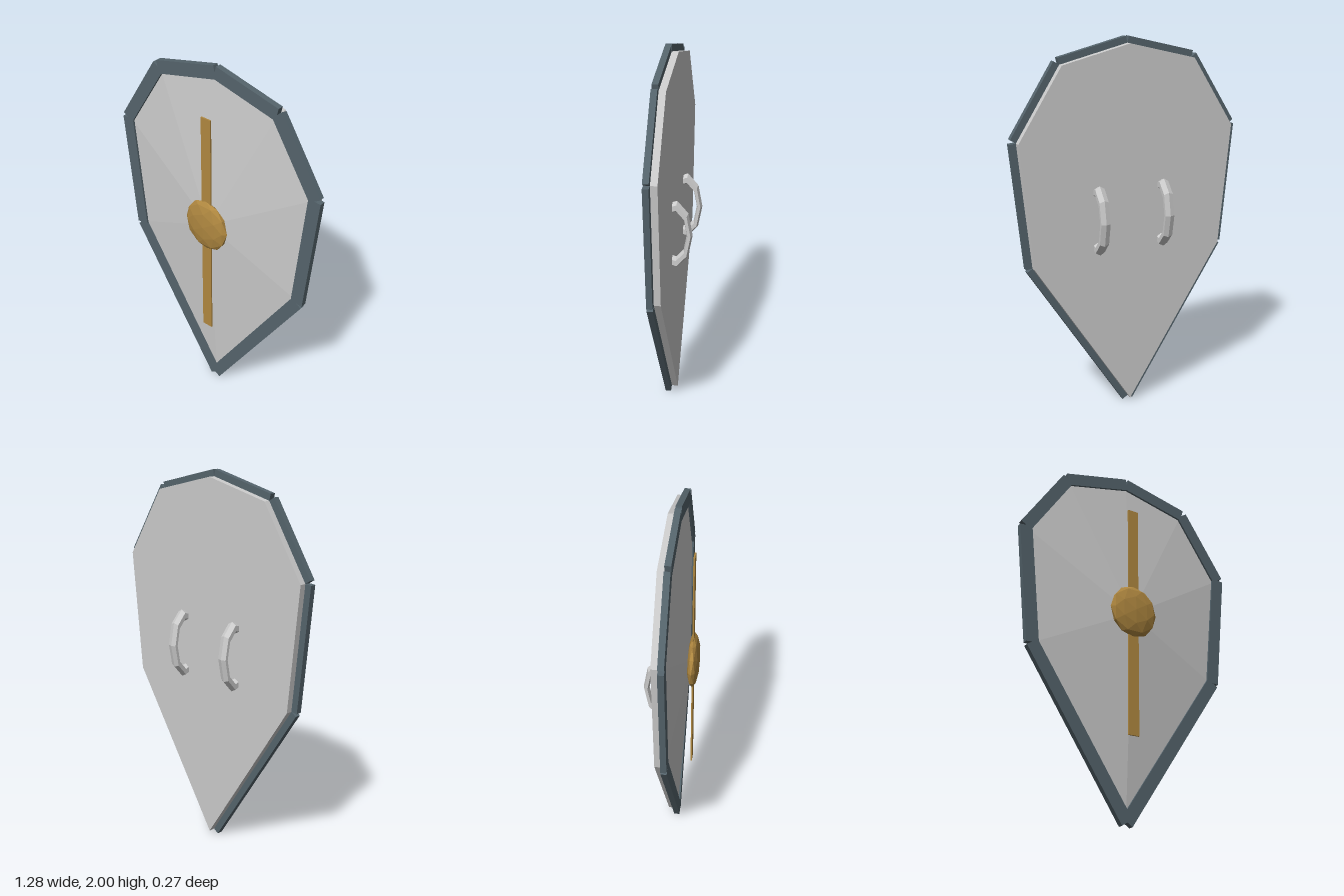
import * as THREE from 'three';

// Shield outline, counter-clockwise seen from the front
const half = [[0.54, 0.855], [0.605, 1.51], [0.37, 1.877]];
const outline = [
  [0, 0.019], ...half, [0, 1.966],
  ...half.map(([x, y]) => [-x, y]).reverse(),
].map(([x, y]) => new THREE.Vector2(x, y));

const material = (color) => new THREE.MeshStandardMaterial({ color, flatShading: true });

export function createModel() {
  const group = new THREE.Group();
  const grey = material(0xcccccc);
  const slate = material(0x55646c);
  const gold = material(0xb08840);

  const add = (name, geometry, mat, x = 0, y = 0, z = 0) => {
    const mesh = new THREE.Mesh(geometry, mat);
    mesh.name = name;
    mesh.position.set(x, y, z);
    group.add(mesh);
    return mesh;
  };

  // Flat backing board
  const slab = new THREE.ExtrudeGeometry(new THREE.Shape(outline), { depth: 0.05, bevelEnabled: false });
  add('board', slab, grey, 0, 0, -0.03);

  // Shallow faceted front, rising to a point behind the boss
  const fan = [];
  outline.forEach((a, i) => {
    const b = outline[(i + 1) % outline.length];
    fan.push(a.x, a.y, 0.021, b.x, b.y, 0.021, 0, 1.12, 0.088);
  });
  const face = new THREE.BufferGeometry();
  face.setAttribute('position', new THREE.Float32BufferAttribute(fan, 3));
  face.computeVertexNormals();
  add('frontFace', face, grey);

  // Rim: one straight bar per edge, leaving notches at the corners
  outline.forEach((a, i) => {
    const b = outline[(i + 1) % outline.length];
    const bar = add('rimBar', new THREE.BoxGeometry(a.distanceTo(b), 0.07, 0.031), slate,
      (a.x + b.x) / 2, (a.y + b.y) / 2, 0.02);
    bar.rotation.z = Math.atan2(b.y - a.y, b.x - a.x);
  });

  // Central strip and flattened faceted boss
  add('centreStrip', new THREE.BoxGeometry(0.06, 1.31, 0.008), gold, 0, 1.095, 0.1);
  const boss = new THREE.IcosahedronGeometry(1, 1);
  boss.scale(0.137, 0.148, 0.033);
  add('boss', boss, gold, 0, 1.127, 0.102);

  // Two curved grips on the back, their ends sunk into the board
  const arc = Math.PI * 4 / 3;
  for (const side of [-1, 1]) {
    const grip = new THREE.TorusGeometry(0.158, 0.03, 6, 6, arc);
    grip.rotateZ(-arc / 2);
    grip.rotateY(Math.PI / 2);
    grip.scale(1, 1, 0.51);
    add(side > 0 ? 'leftGrip' : 'rightGrip', grip, grey, side * 0.185, 1.075, -0.037);
  }

  return group;
}
